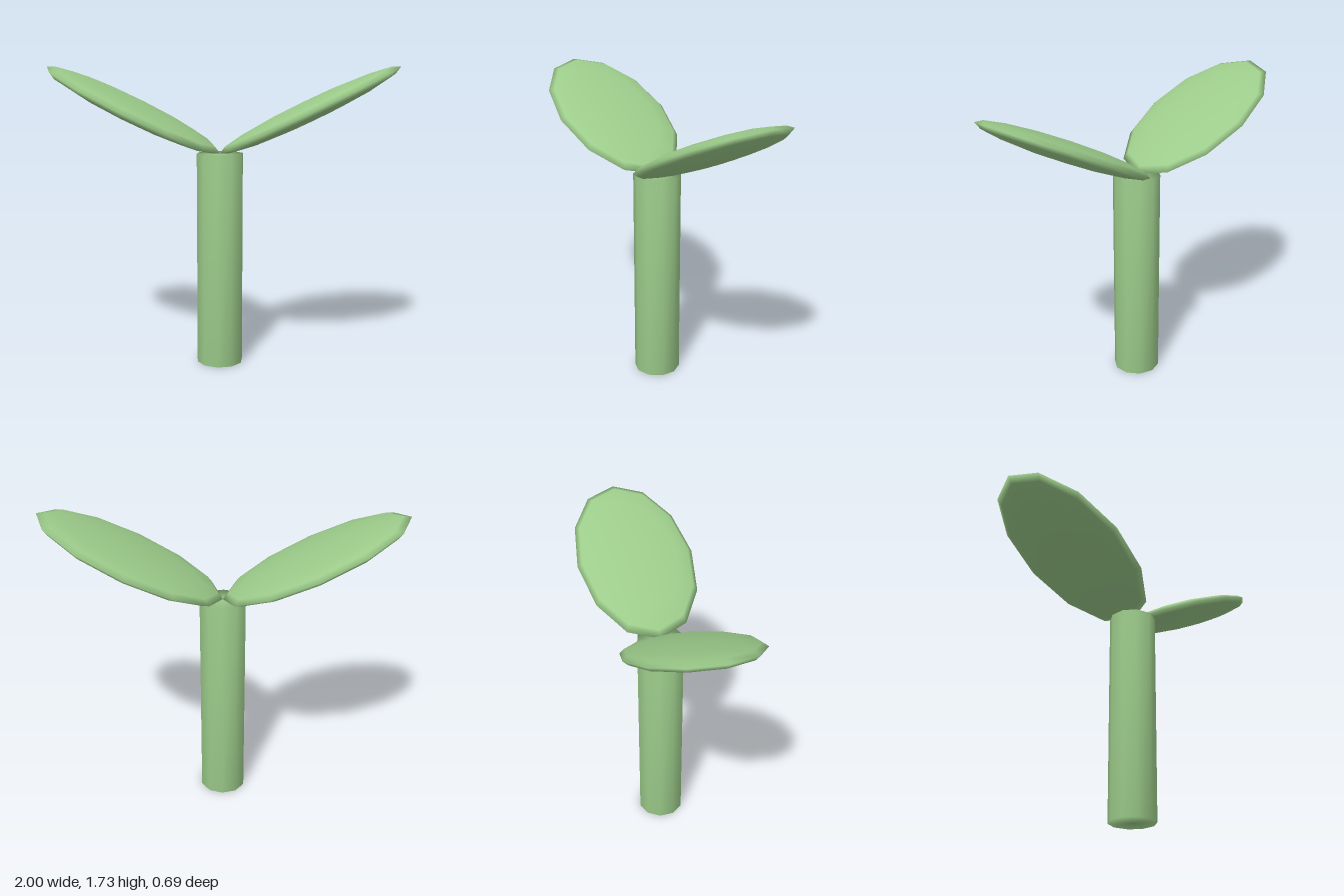
import * as THREE from 'three';
import { mergeVertices } from 'three/addons/utils/BufferGeometryUtils.js';

const STEM_HEIGHT = 1.24;
const LEAF_TILT = THREE.MathUtils.degToRad(26);

// Share vertices so the shading runs smoothly over every edge
function smooth(geometry) {
  geometry.deleteAttribute('normal');
  geometry.deleteAttribute('uv');
  const merged = mergeVertices(geometry, 1e-4);
  merged.computeVertexNormals();
  return merged;
}

export function createModel() {
  const group = new THREE.Group();
  group.name = 'sprout';
  const green = new THREE.MeshStandardMaterial({ color: 0x9ccb8a });

  // Stem: ten-sided column
  const stem = new THREE.Mesh(
    smooth(new THREE.CylinderGeometry(0.135, 0.135, STEM_HEIGHT, 10)), green);
  stem.name = 'stem';
  stem.position.y = STEM_HEIGHT / 2;
  group.add(stem);

  // Leaves: flattened low-poly ellipsoids meeting at the top of the stem
  const leafGeometry = smooth(new THREE.SphereGeometry(1, 12, 8).scale(0.556, 0.058, 0.344));
  for (const side of [1, -1]) {
    const leaf = new THREE.Mesh(leafGeometry, green);
    leaf.name = side > 0 ? 'leftLeaf' : 'rightLeaf';
    leaf.position.set(side * 0.5, 1.484, 0);
    leaf.rotation.z = side * LEAF_TILT;
    group.add(leaf);
  }

  return group;
}
